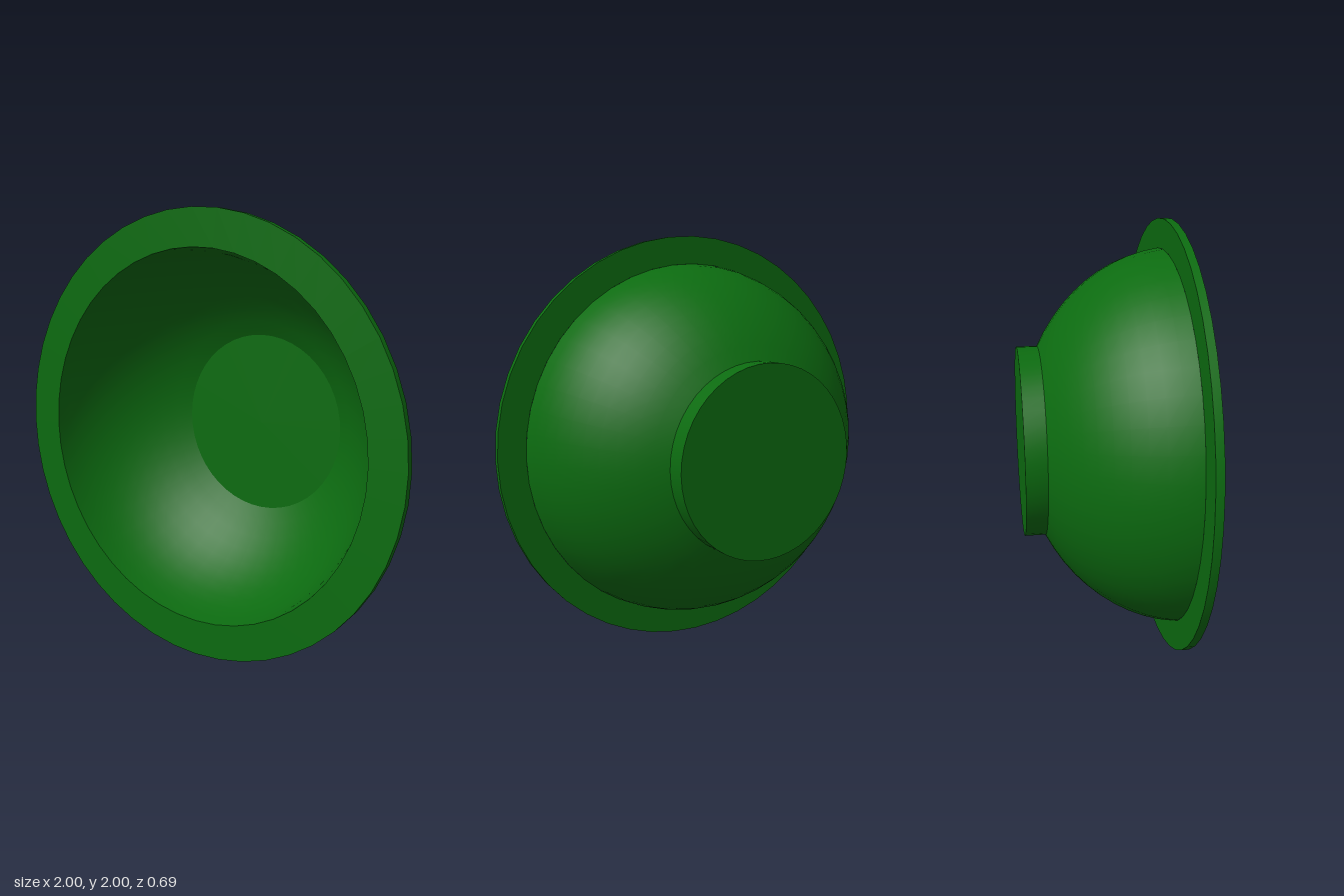
import * as THREE from 'three';
import { toCreasedNormals } from 'three/addons/utils/BufferGeometryUtils.js';

const SEGMENTS = 48;
const CENTER_Z = 0.39; // centre of the flattened-sphere bowl wall

// Points [radius, z] on a flattened sphere, running from z0 to z1
function arc(radius, depth, z0, z1, steps) {
  const a0 = Math.acos((CENTER_Z - z0) / depth);
  const a1 = Math.acos((CENTER_Z - z1) / depth);
  const points = [];
  for (let i = 0; i <= steps; i++) {
    const a = THREE.MathUtils.lerp(a0, a1, i / steps);
    points.push([radius * Math.sin(a), CENTER_Z - depth * Math.cos(a)]);
  }
  return points;
}

// Revolves a [radius, z] profile around the front-to-back axis
function revolve(name, profile, material) {
  const points = profile.map(([r, z]) => new THREE.Vector2(r, z));
  const geometry = new THREE.LatheGeometry(points, SEGMENTS).rotateX(Math.PI / 2);
  const mesh = new THREE.Mesh(toCreasedNormals(geometry, 0.5), material);
  mesh.name = name;
  mesh.position.y = 1;
  return mesh;
}

export function createModel() {
  const group = new THREE.Group();
  group.name = 'bowl';
  const green = new THREE.MeshStandardMaterial({ color: 0x0c6b10 });

  // Outer wall, from the foot to the rim
  group.add(revolve('outerWall', arc(0.875, 0.74, -0.25, 0.31, 10), green));

  // Hollow inside with a flat floor
  group.add(revolve('innerWall', [...arc(0.838, 0.7, -0.21, 0.345, 10).reverse(), [0, -0.21]], green));

  // Flat flange around the opening
  group.add(revolve('rim', [[0.87, 0.31], [1, 0.31], [1, 0.345], [0.836, 0.345]], green));

  // Short round foot on the back
  group.add(revolve('foot', [[0, -0.345], [0.44, -0.345], [0.44, -0.245]], green));

  return group;
}
